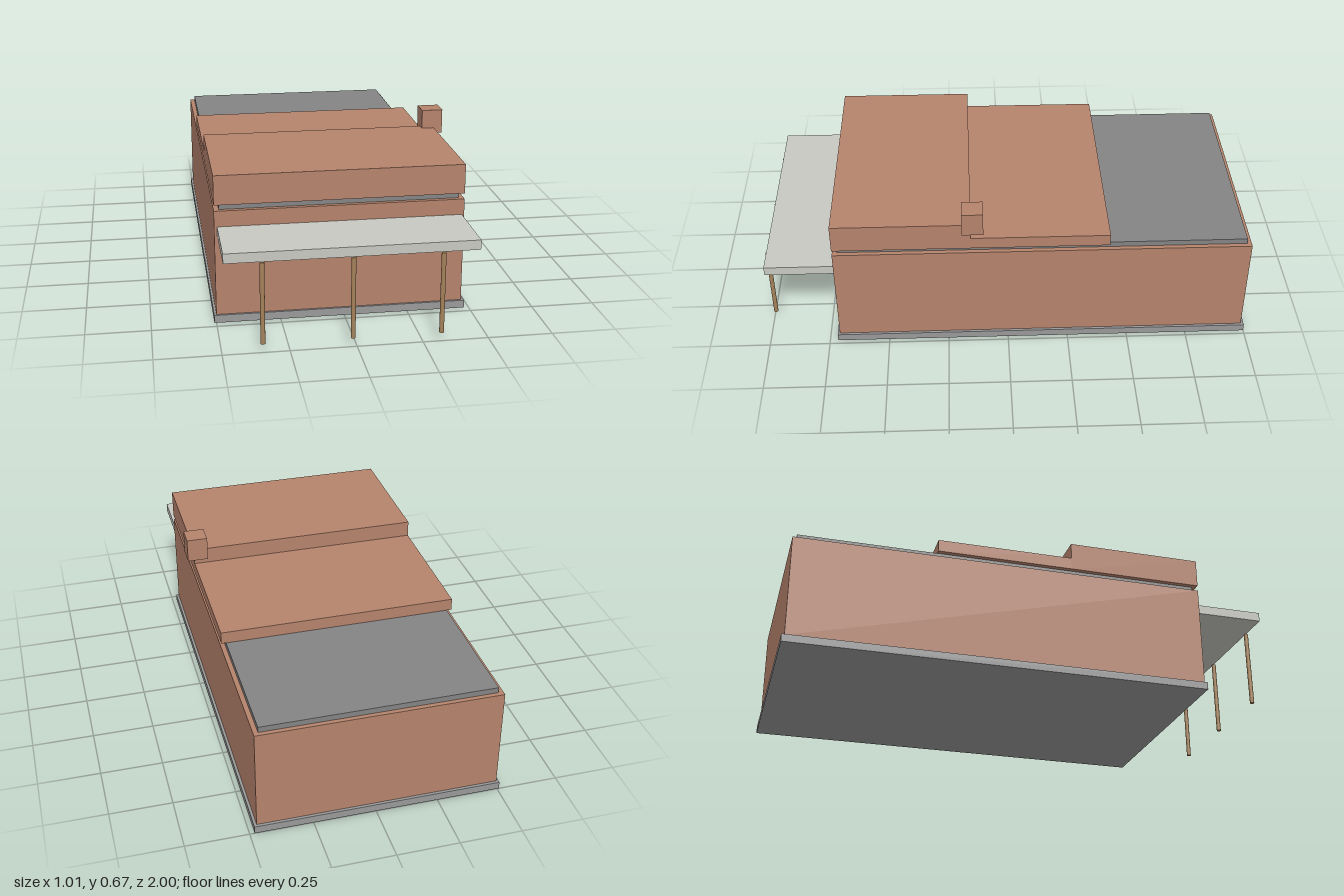
import * as THREE from 'three';

const material = (color) => new THREE.MeshStandardMaterial({ color });

export function createModel() {
  const model = new THREE.Group();
  model.name = 'building';
  const brick = material(0xb5836c);
  const concrete = material(0x999999);
  const roofing = material(0x848484);
  const panel = material(0xc8c9c2);
  const timber = material(0xa5825a);

  // Adds a box given its extents along each axis.
  function block(name, mat, [x0, x1], [y0, y1], [z0, z1]) {
    const mesh = new THREE.Mesh(new THREE.BoxGeometry(x1 - x0, y1 - y0, z1 - z0), mat);
    mesh.position.set((x0 + x1) / 2, (y0 + y1) / 2, (z0 + z1) / 2);
    mesh.name = name;
    model.add(mesh);
  }

  // Foundation, main walls and recessed roof slab
  block('foundation', concrete, [-0.508, 0.481], [0, 0.031], [-1, 0.717]);
  block('walls', brick, [-0.499, 0.47], [0.031, 0.453], [-0.988, 0.708]);
  block('roofSlab', roofing, [-0.479, 0.451], [0.453, 0.476], [-0.97, 0.69]);

  // Stepped upper volumes
  block('upperFront', brick, [-0.499, 0.47], [0.476, 0.593], [0.15, 0.708]);
  block('upperMiddle', brick, [-0.499, 0.47], [0.476, 0.526], [-0.41, 0.15]);
  block('chimney', brick, [0.419, 0.505], [0.571, 0.67], [0.1, 0.186]);

  // Front canopy on three slim posts
  block('canopy', panel, [-0.488, 0.461], [0.352, 0.39], [0.7, 0.988]);
  const postGeometry = new THREE.CylinderGeometry(0.009, 0.009, 0.32, 16);
  for (const x of [-0.349, -0.014, 0.321]) {
    const post = new THREE.Mesh(postGeometry, timber);
    post.position.set(x, 0.192, 0.991);
    post.name = 'canopyPost';
    model.add(post);
  }
  return model;
}
